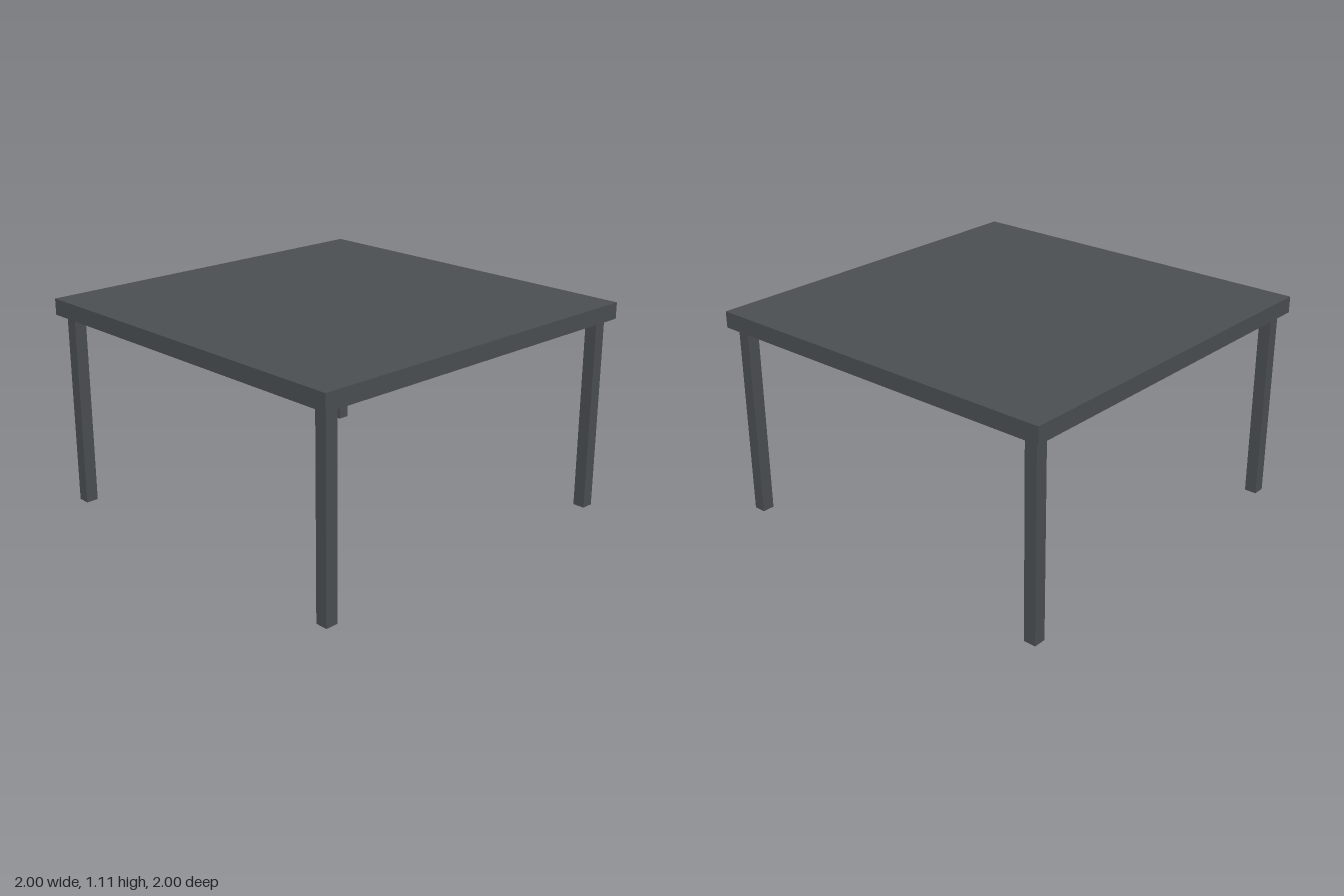
import * as THREE from 'three';

export function createModel() {
  const table = new THREE.Group();
  table.name = 'table';
  const material = new THREE.MeshStandardMaterial({ color: 0x4a4e50 });

  const height = 1.105, topThickness = 0.085, legWidth = 0.065, legOffset = 0.927;
  const legHeight = height - topThickness;

  // Square slab top
  const top = new THREE.Mesh(new THREE.BoxGeometry(2, topThickness, 2), material);
  top.name = 'tableTop';
  top.position.y = height - topThickness / 2;
  table.add(top);

  // Four square legs, set slightly in from the corners
  const legGeometry = new THREE.BoxGeometry(legWidth, legHeight, legWidth);
  for (const [zName, z] of [['front', 1], ['back', -1]]) {
    for (const [xName, x] of [['Left', 1], ['Right', -1]]) {
      const leg = new THREE.Mesh(legGeometry, material);
      leg.name = `${zName}${xName}Leg`;
      leg.position.set(x * legOffset, legHeight / 2, z * legOffset);
      table.add(leg);
    }
  }
  return table;
}
